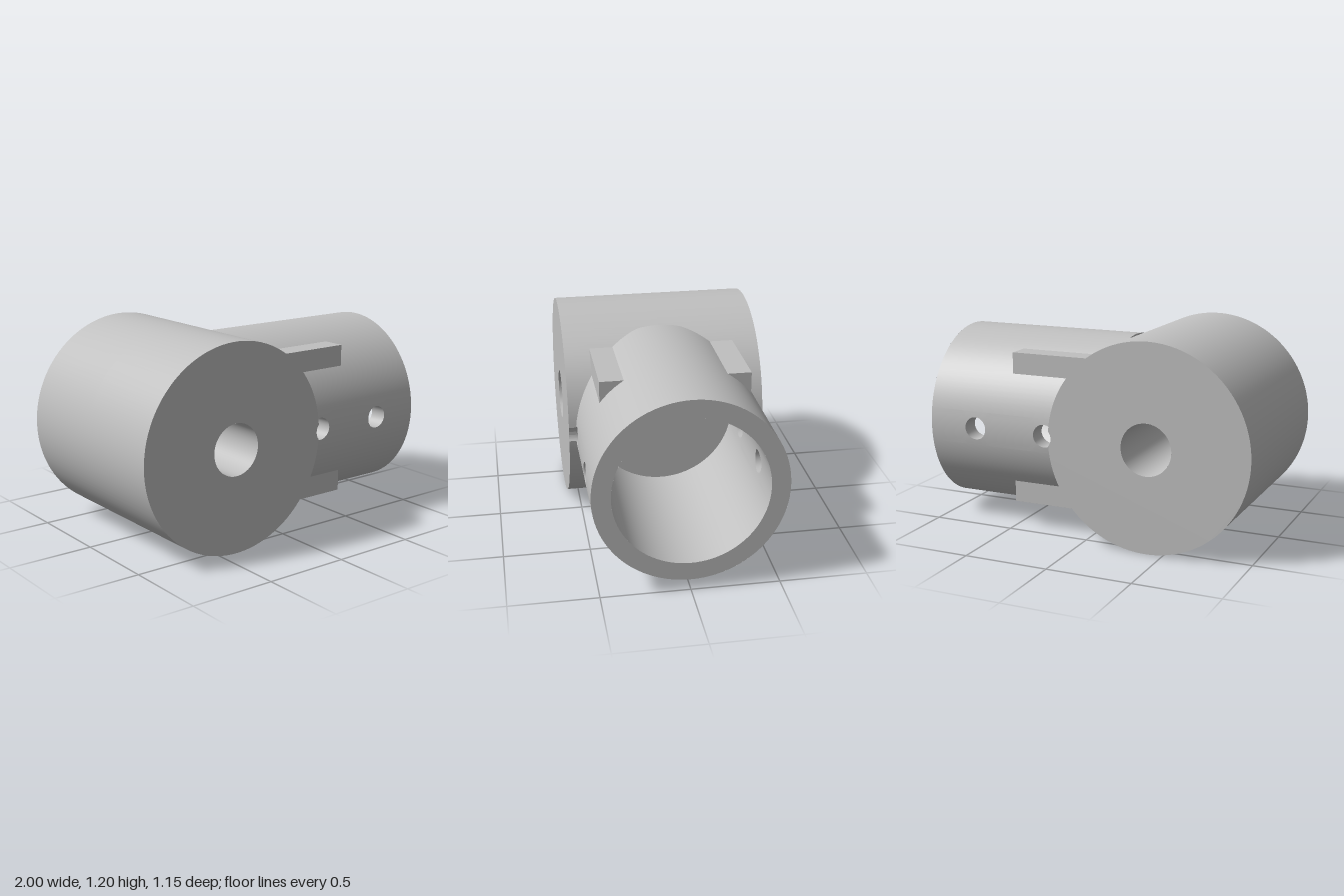
import * as THREE from 'three';
import { mergeGeometries, toCreasedNormals } from 'three/addons/utils/BufferGeometryUtils.js';

const AXIS_Y = 0.6;                       // height of both cylinder axes
const HUB = { x: -0.4, r: 0.6, half: 0.575, bore: 0.15 };
const TUBE = { x0: -0.1, x1: 1, ro: 0.535, ri: 0.43, floor: 0 };
const PINS = [0.25, 0.7], PIN_R = 0.067, PATCH = 0.1;

// Grid surface from a rule f(u, v) -> [x, y, z]; it faces du x dv
function sheet(nu, nv, f, flip = false) {
  const pos = [], idx = [];
  for (let j = 0; j <= nv; j++) for (let i = 0; i <= nu; i++) pos.push(...f(i / nu, j / nv));
  for (let j = 0; j < nv; j++) for (let i = 0; i < nu; i++) {
    const a = j * (nu + 1) + i, b = a + 1, d = a + nu + 1, c = d + 1;
    idx.push(...(flip ? [a, c, b, a, d, c] : [a, b, c, a, c, d]));
  }
  const g = new THREE.BufferGeometry();
  g.setAttribute('position', new THREE.Float32BufferAttribute(pos, 3));
  g.setIndex(idx);
  return g;
}

// Join surfaces and smooth across everything but sharp edges
function join(list) {
  const plain = list.map((g) => {
    const n = g.index ? g.toNonIndexed() : g.clone();
    n.deleteAttribute('uv');
    n.deleteAttribute('normal');
    return n;
  });
  return toCreasedNormals(mergeGeometries(plain), 0.5);
}

// Add a copy of each surface turned half round the x axis
const withOpposite = (list) => list.concat(list.map((g) => g.clone().rotateX(Math.PI)));

// Half of a tube wall (front band with pin holes, and the arc above it)
function wallHalf(r, x0, x1, flip) {
  const onWall = (x, y) => [x, y, Math.sqrt(r * r - y * y)];
  const out = [];
  const edges = [x0, ...PINS.flatMap((p) => [p - PATCH, p + PATCH]), x1];
  for (let i = 0; i < edges.length; i += 2) {
    out.push(sheet(1, 8, (u, v) => onWall(
      THREE.MathUtils.lerp(edges[i], edges[i + 1], u),
      PATCH * Math.tan((v - 0.5) * Math.PI / 2)), flip));
  }
  for (const p of PINS) {
    out.push(sheet(3, 32, (u, v) => {
      const c = Math.cos(v * 2 * Math.PI), s = Math.sin(v * 2 * Math.PI);
      const k = THREE.MathUtils.lerp(PIN_R, PATCH / Math.max(Math.abs(c), Math.abs(s)), u);
      return onWall(p + k * c, k * s);
    }, flip));
  }
  const a0 = Math.asin(PATCH / r);
  out.push(sheet(1, 44, (u, v) => {
    const a = a0 + v * (Math.PI - 2 * a0);
    return [THREE.MathUtils.lerp(x0, x1, u), r * Math.sin(a), r * Math.cos(a)];
  }, flip));
  return out;
}

function socketGeometry() {
  const half = [
    ...wallHalf(TUBE.ro, TUBE.x0, TUBE.x1, false),
    ...wallHalf(TUBE.ri, TUBE.floor, TUBE.x1, true),
  ];
  // Linings of the pin holes
  for (const p of PINS) {
    half.push(sheet(1, 32, (u, v) => {
      const y = PIN_R * Math.sin(v * 2 * Math.PI);
      const r = u ? TUBE.ro : TUBE.ri;
      return [p + PIN_R * Math.cos(v * 2 * Math.PI), y, Math.sqrt(r * r - y * y)];
    }));
  }
  const ring = () => new THREE.RingGeometry(TUBE.ri, TUBE.ro, 96);
  return join([
    ...withOpposite(half),
    ring().rotateY(Math.PI / 2).translate(TUBE.x1, 0, 0),
    ring().rotateY(-Math.PI / 2).translate(TUBE.x0, 0, 0),
    new THREE.CircleGeometry(TUBE.ri, 96).rotateY(Math.PI / 2).translate(TUBE.floor, 0, 0),
  ]);
}

function hubGeometry() {
  // Circle with a small notch where the first pin hole grazes its rim
  const d = PINS[0] - HUB.x;
  const ix = (HUB.r ** 2 + d * d - PIN_R ** 2) / (2 * d);
  const iy = Math.sqrt(HUB.r ** 2 - ix * ix);
  const a = Math.atan2(iy, ix), b = Math.atan2(iy, d - ix);
  const outline = new THREE.Shape();
  outline.absarc(0, 0, HUB.r, a, 2 * Math.PI - a, false);
  outline.absarc(d, 0, PIN_R, Math.PI + b, Math.PI - b, true);
  outline.holes.push(new THREE.Path().absarc(0, 0, HUB.bore, 0, 2 * Math.PI, true));
  const pts = outline.extractPoints(48).shape;

  // Side wall, left open where the socket enters
  const cut = (TUBE.ri + TUBE.ro) / 2;
  const wall = sheet(pts.length, 1, (u, v) => {
    const p = pts[Math.round(u * pts.length) % pts.length];
    const inner = p.x > 0 ? Math.sqrt(Math.max(0, cut * cut - p.y * p.y)) : 0;
    return [p.x, p.y, v ? HUB.half : inner];
  });
  const cap = new THREE.ShapeGeometry(outline, 48).translate(0, 0, HUB.half);
  const bore = sheet(1, 64, (u, v) => [
    HUB.bore * Math.cos(v * 2 * Math.PI), HUB.bore * Math.sin(v * 2 * Math.PI), u * HUB.half]);
  return join(withOpposite([wall, cap, bore]));
}

// Corner rib running along the socket
function ribGeometry(sy, sz) {
  const shape = new THREE.Shape(
    [[0.425, 0.45], [0.27, 0.45], [0.33, 0.37], [0.425, 0.31]]
      .map(([z, y]) => new THREE.Vector2(-sz * z, sy * y)));
  return new THREE.ExtrudeGeometry(shape, { depth: 0.5, bevelEnabled: false }).rotateY(Math.PI / 2);
}

export function createModel() {
  const grey = new THREE.MeshStandardMaterial({ color: 0xc0c0c0, side: THREE.DoubleSide });
  grey.name = 'grey';
  const model = new THREE.Group();
  model.name = 'pivotSocket';
  const add = (name, geometry, x = 0) => {
    const mesh = new THREE.Mesh(geometry, grey);
    mesh.name = name;
    mesh.position.set(x, AXIS_Y, 0);
    model.add(mesh);
  };
  add('hub', hubGeometry(), HUB.x);
  add('socket', socketGeometry());
  for (const sy of [1, -1]) for (const sz of [1, -1]) {
    add(`${sy > 0 ? 'upper' : 'lower'}${sz > 0 ? 'Front' : 'Back'}Rib`, ribGeometry(sy, sz));
  }
  return model;
}
